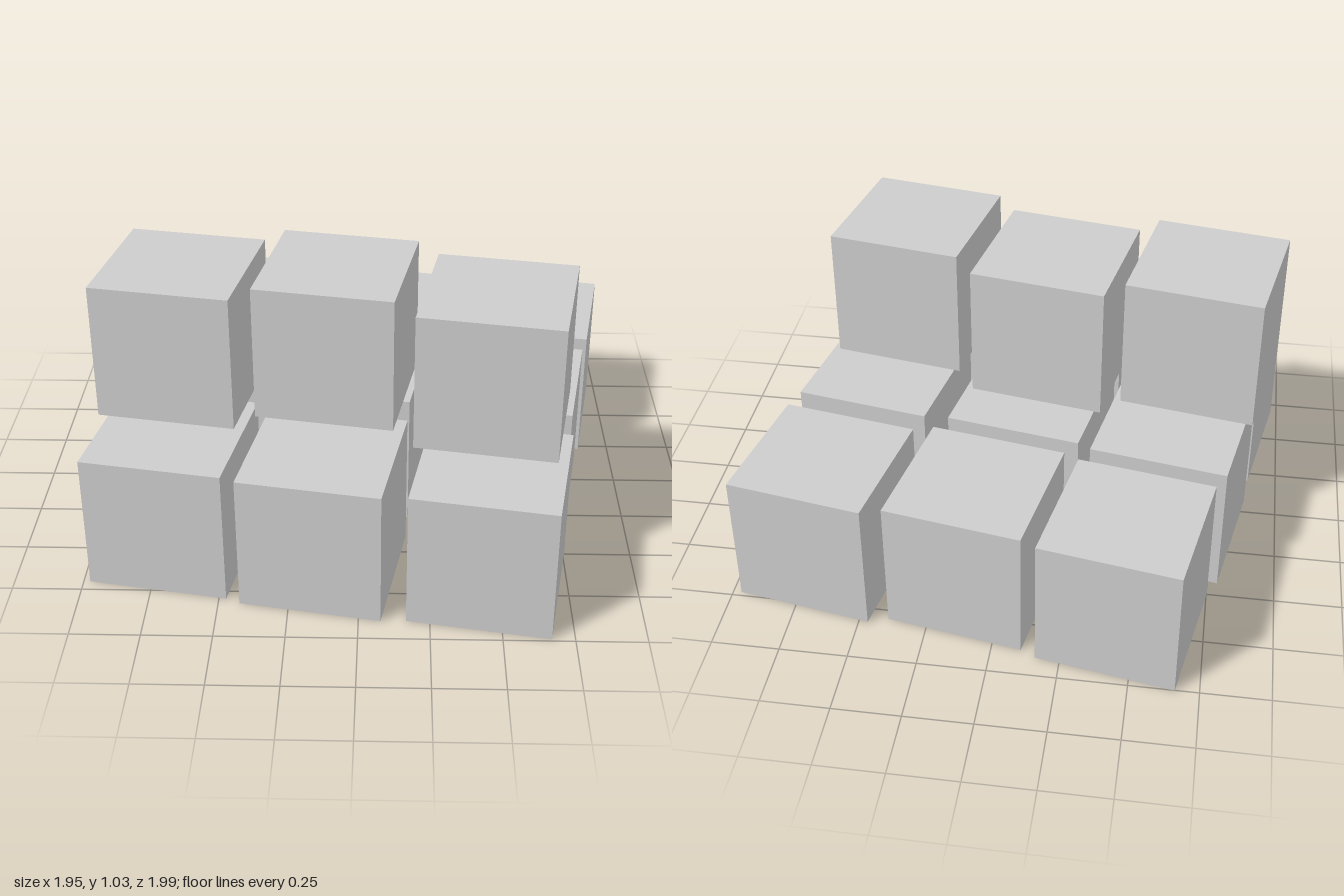
import * as THREE from 'three';

export function createModel() {
  const model = new THREE.Group();
  const stoneGrey = new THREE.MeshStandardMaterial({ color: 0xcccccc });
  stoneGrey.name = 'stoneGrey';

  const width = 0.51, height = 0.515;
  const block = new THREE.BoxGeometry(width, height, width);
  const turn = THREE.MathUtils.degToRad(-10);

  // Each row lists the [x, z] centres of its three blocks, from right to left
  const rows = [
    { name: 'backRow', level: 0, centres: [[-0.457, -0.706], [0.1, -0.587], [0.674, -0.524]] },
    { name: 'middleRow', level: 0, centres: [[-0.581, -0.138], [-0.032, -0.021], [0.56, 0.063]] },
    { name: 'frontRow', level: 0, centres: [[-0.681, 0.497], [-0.129, 0.611], [0.462, 0.696]] },
    { name: 'upperRow', level: 1, centres: [[-0.663, 0.18], [-0.092, 0.18], [0.481, 0.378]] },
  ];
  const places = ['Right', 'Centre', 'Left'];

  for (const { name, level, centres } of rows) {
    const row = new THREE.Group();
    row.name = name;
    centres.forEach(([x, z], i) => {
      const cube = new THREE.Mesh(block, stoneGrey);
      cube.name = `${name}Block${places[i]}`;
      cube.position.set(x, height * (level + 0.5), z);
      cube.rotation.y = turn;
      row.add(cube);
    });
    model.add(row);
  }
  return model;
}
